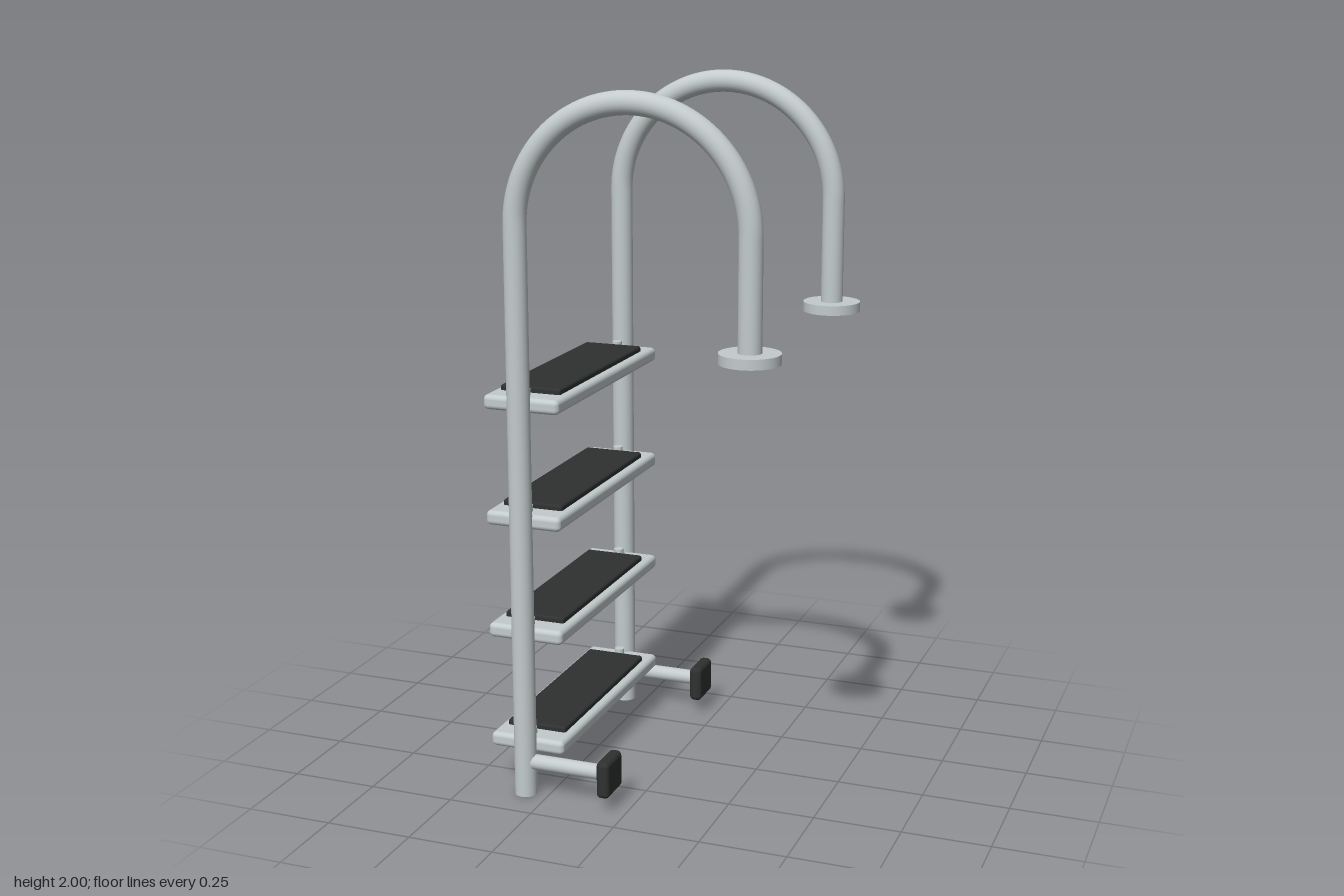
import * as THREE from 'three';
import { RoundedBoxGeometry } from 'three/addons/geometries/RoundedBoxGeometry.js';

const steel = new THREE.MeshStandardMaterial({ color: 0xc3cbcc });
const rubber = new THREE.MeshStandardMaterial({ color: 0x2f3131 });

const TUBE_R = 0.032, BACK_X = -0.318, FRONT_X = 0.343, RAIL_Z = 0.38;
const SPRING_Y = 1.637, FLANGE_Y = 1.325;

function add(parent, name, geometry, material, x = 0, y = 0, z = 0) {
  const mesh = new THREE.Mesh(geometry, material);
  mesh.name = name;
  mesh.position.set(x, y, z);
  parent.add(mesh);
  return mesh;
}

function upright(parent, name, x, y0, y1) {
  add(parent, name, new THREE.CylinderGeometry(TUBE_R, TUBE_R, y1 - y0, 32), steel, x, (y0 + y1) / 2);
}

// Hooked side rail with deck flange and wall bumper
function createRail(name, z) {
  const rail = new THREE.Group();
  rail.name = name;
  rail.position.z = z;

  upright(rail, 'longUpright', BACK_X, 0, SPRING_Y);
  upright(rail, 'shortUpright', FRONT_X, FLANGE_Y, SPRING_Y);
  const bendR = (FRONT_X - BACK_X) / 2;
  add(rail, 'handrailBend', new THREE.TorusGeometry(bendR, TUBE_R, 32, 64, Math.PI), steel,
    (FRONT_X + BACK_X) / 2, SPRING_Y);
  add(rail, 'deckFlange', new THREE.CylinderGeometry(0.083, 0.083, 0.028, 48), steel, FRONT_X, FLANGE_Y);

  const arm = add(rail, 'bumperArm', new THREE.CylinderGeometry(0.022, 0.022, 0.25, 24), steel, -0.193, 0.1);
  arm.rotation.z = Math.PI / 2;
  add(rail, 'bumperPad', new RoundedBoxGeometry(0.038, 0.108, 0.112, 4, 0.014), rubber, -0.061, 0.098);
  return rail;
}

// Step with rubber grip and a bolt at each end
function createStep(name, y) {
  const step = new THREE.Group();
  step.name = name;
  step.position.set(BACK_X, y, 0);
  add(step, 'tread', new RoundedBoxGeometry(0.225, 0.042, 0.744, 4, 0.014), steel);
  add(step, 'gripPad', new RoundedBoxGeometry(0.18, 0.022, 0.606, 3, 0.007), rubber, 0, 0.026);
  for (const side of [-1, 1]) {
    add(step, 'bolt', new THREE.CylinderGeometry(0.0145, 0.0145, 0.03, 24), steel, 0, 0.024, side * 0.333);
  }
  return step;
}

export function createModel() {
  const ladder = new THREE.Group();
  ladder.name = 'poolLadder';
  ladder.add(createRail('leftRail', RAIL_Z), createRail('rightRail', -RAIL_Z));
  for (let i = 0; i < 4; i++) ladder.add(createStep(`step${i + 1}`, 0.145 + i * 0.3317));
  return ladder;
}
